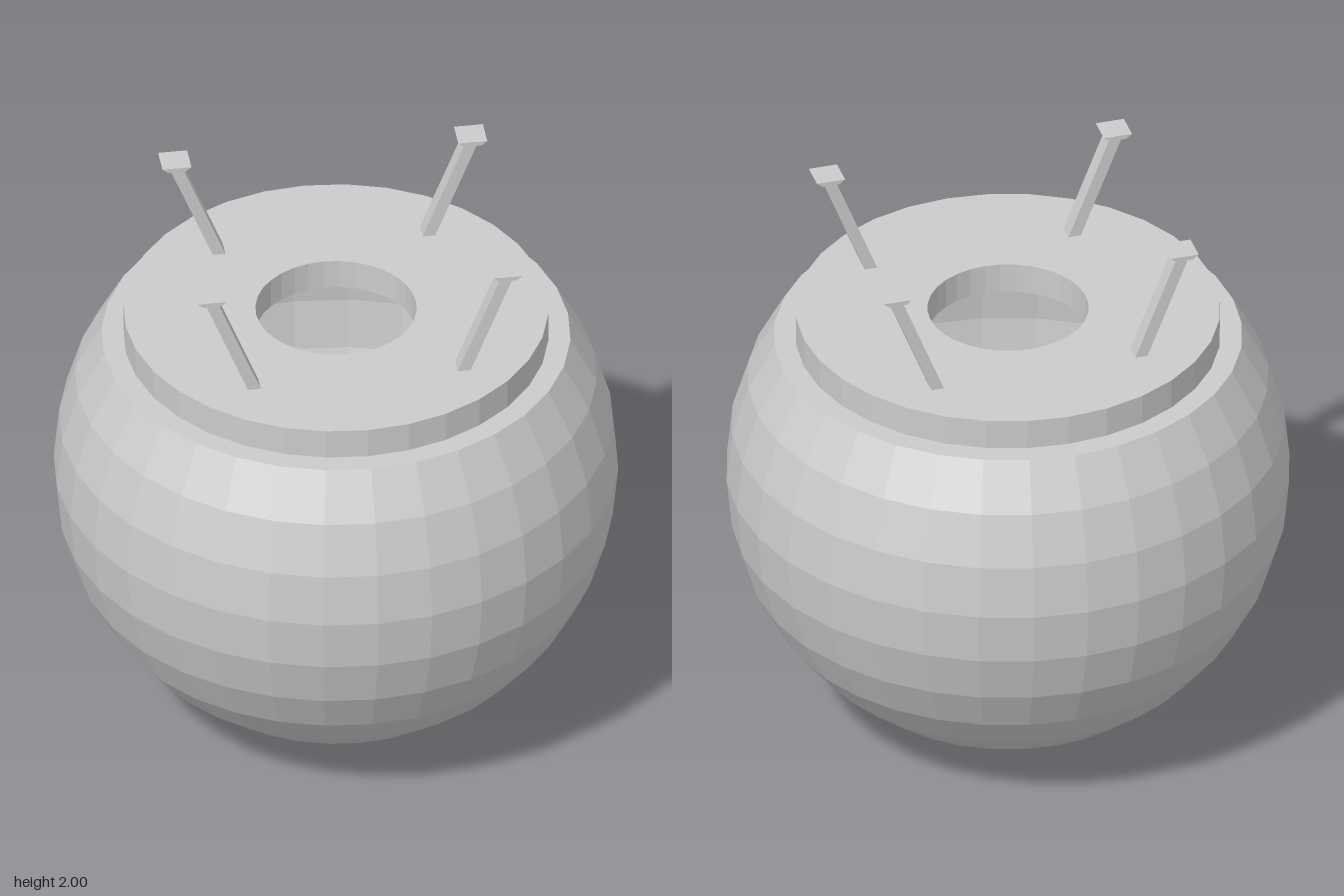
import * as THREE from 'three';

const SEG = 32, STACKS = 16;
const CENTER = 0.966, RADIUS = 0.963, INNER = 0.95;

const material = new THREE.MeshStandardMaterial({
  color: 0xcccccc, flatShading: true, side: THREE.DoubleSide,
});

function addMesh(parent, name, geometry) {
  const mesh = new THREE.Mesh(geometry, material);
  mesh.name = name;
  parent.add(mesh);
  return mesh;
}

// Points of a sphere profile from the bottom pole up to the cut neck
function spherePoints(radius) {
  const points = [];
  for (let i = 0; i <= 11; i++) {
    const a = -Math.PI / 2 + (i * Math.PI) / STACKS;
    const r = i === 0 ? 0 : radius * Math.cos(a);
    points.push(new THREE.Vector2(r, CENTER + radius * Math.sin(a)));
  }
  return points;
}

// Polygon in the front plane, extruded along z and centred on it
function addPrism(parent, name, corners, depth) {
  const shape = new THREE.Shape(corners.map(([x, y]) => new THREE.Vector2(x, y)));
  const geometry = new THREE.ExtrudeGeometry(shape, { depth, bevelEnabled: false });
  geometry.translate(0, 0, -depth / 2);
  return addMesh(parent, name, geometry);
}

// Slanted strut with a small flared cap; side is the direction of the lean
function makeStrut(side, z) {
  const strut = new THREE.Group();
  strut.name = 'strut';
  const h = 0.022, foot = side * 0.361, head = side * 0.51;
  addPrism(strut, 'strutRod', [
    [foot - h, 1.608], [foot + h, 1.608], [head + h, 1.985], [head - h, 1.985],
  ], 0.06);
  addPrism(strut, 'strutCap', [
    [head - 0.03, 1.984], [head + 0.03, 1.984], [head + 0.05, 2], [head - 0.05, 2],
  ], 0.1);
  strut.position.set(0.015, 0, z);
  return strut;
}

export function createModel() {
  const model = new THREE.Group();
  model.name = 'roundVessel';

  // Hollow faceted bowl: outer and inner shell
  addMesh(model, 'bowl', new THREE.LatheGeometry(spherePoints(RADIUS), SEG));
  addMesh(model, 'bowlLining', new THREE.LatheGeometry(spherePoints(INNER).reverse(), SEG));

  // Flat shoulder, raised lid and central opening
  const lid = [[0.275, 1.501], [0.8, 1.501], [0.725, 1.501], [0.725, 1.61], [0.275, 1.61], [0.275, 1.501]];
  addMesh(model, 'lid', new THREE.LatheGeometry(lid.slice(2).map(([x, y]) => new THREE.Vector2(x, y)), SEG));
  addMesh(model, 'shoulder', new THREE.LatheGeometry(
    [lid[1], lid[0]].map(([x, y]) => new THREE.Vector2(x, y)), SEG));

  // Four struts leaning outwards
  for (const side of [-1, 1]) {
    for (const z of [-0.4, 0.4]) model.add(makeStrut(side, z));
  }
  return model;
}
